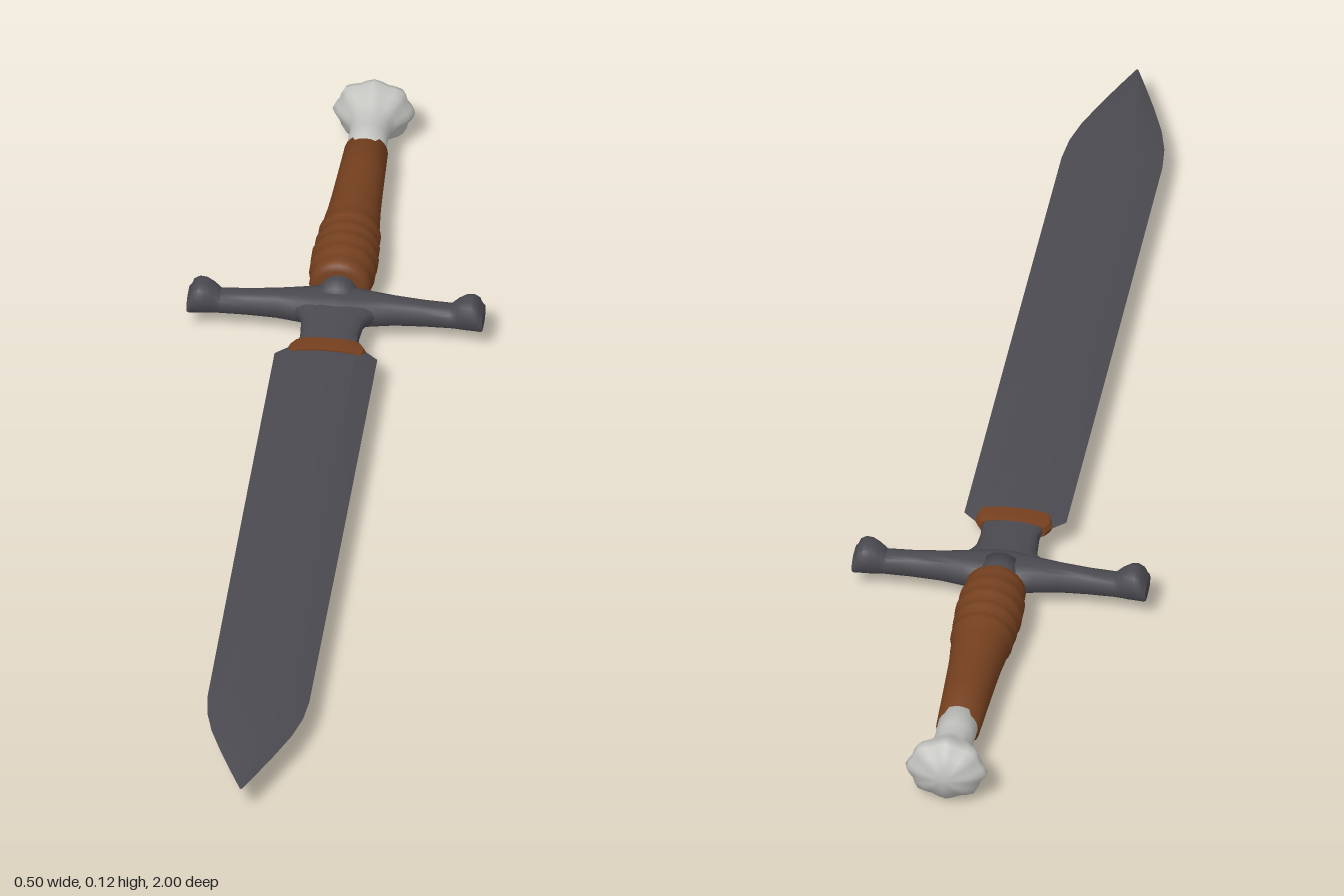
import * as THREE from 'three';
import { mergeVertices, toCreasedNormals } from 'three/addons/utils/BufferGeometryUtils.js';

// Skin closed cross-sections (counterclockwise [x, y] points) placed along z.
function loft(sections, crease) {
  const n = sections[0].pts.length;
  const pos = [], idx = [];
  for (const s of sections) for (const [x, y] of s.pts) pos.push(x, y, s.z);
  for (let i = 0; i < sections.length - 1; i++) {
    for (let j = 0; j < n; j++) {
      const a = i * n + j, b = i * n + (j + 1) % n;
      idx.push(a, b, b + n, a, b + n, a + n);
    }
  }
  const last = (sections.length - 1) * n;
  for (let j = 1; j < n - 1; j++) idx.push(0, j + 1, j, last, last + j, last + j + 1);
  const g = new THREE.BufferGeometry();
  g.setAttribute('position', new THREE.Float32BufferAttribute(pos, 3));
  g.setIndex(idx);
  return toCreasedNormals(g, crease);
}

// Flattened blade section: sharp edges, bevels and a gentle central ridge.
function bladeSection(w, t) {
  return [[w, 0], [w * 0.6, t * 0.75], [w * 0.3, t * 0.92], [0, t], [-w * 0.3, t * 0.92], [-w * 0.6, t * 0.75],
    [-w, 0], [-w * 0.6, -t * 0.75], [-w * 0.3, -t * 0.92], [0, -t], [w * 0.3, -t * 0.92], [w * 0.6, -t * 0.75]];
}

// Oval section with separate top and bottom heights.
function oval(w, top, bottom, cx = 0, sides = 14) {
  return Array.from({ length: sides }, (_, i) => {
    const a = (i / sides) * Math.PI * 2, s = Math.sin(a), c = Math.cos(a);
    const mid = (top + bottom) / 2, half = (top - bottom) / 2;
    return [cx + Math.sign(c) * Math.abs(c) ** 0.75 * w, mid + Math.sign(s) * Math.abs(s) ** 0.75 * half];
  });
}

// Turned part whose axis runs towards -z; profile is [radius, distance].
function turned(profile, segments, reshape) {
  const g = new THREE.LatheGeometry(profile.map(([r, d]) => new THREE.Vector2(r, d)), segments);
  if (reshape) {
    const p = g.attributes.position;
    for (let i = 0; i < p.count; i++) {
      const [kx, kz] = reshape(p.getX(i), p.getY(i), p.getZ(i));
      p.setX(i, p.getX(i) * kx);
      p.setZ(i, p.getZ(i) * kz);
    }
  }
  g.deleteAttribute('uv');
  g.deleteAttribute('normal');
  const m = mergeVertices(g, 1e-5);
  m.rotateX(-Math.PI / 2);
  m.computeVertexNormals();
  return m;
}

export function createModel() {
  const group = new THREE.Group();
  const material = (name, color) => Object.assign(new THREE.MeshStandardMaterial({ color }), { name });
  const steel = material('darkSteel', 0x4b4a50);
  const leather = material('brownLeather', 0x75401f);
  const silver = material('paleSilver', 0xc2c3bf);
  const add = (name, geometry, mat, y = 0) => {
    const mesh = new THREE.Mesh(geometry, mat);
    mesh.name = name;
    mesh.position.y = y;
    group.add(mesh);
  };

  // Blade: [z, half width, half thickness]
  const blade = [[-0.285, 0.055, 0.014], [-0.255, 0.087, 0.015], [0.2, 0.087, 0.015], [0.74, 0.086, 0.014],
    [0.79, 0.081, 0.013], [0.84, 0.068, 0.012], [0.9, 0.045, 0.009], [0.95, 0.024, 0.006], [1.0, 0.002, 0.001]];
  add('blade', loft(blade.map(([z, w, t]) => ({ z, pts: bladeSection(w, t) })), 0.35), steel, 0.058);

  // Leather band over the blade shoulder
  const band = [[-0.287, 0.058, 0.0165], [-0.272, 0.067, 0.0185], [-0.25, 0.064, 0.0175]];
  add('bladeBand', loft(band.map(([z, w, t]) => ({ z, pts: oval(w, t, -t) })), 0.6), leather, 0.058);

  // Collar between the guard and the blade
  const collar = [[-0.405, 0.09, 0.018], [-0.38, 0.075, 0.021], [-0.365, 0.06, 0.021], [-0.35, 0.053, 0.02],
    [-0.31, 0.05, 0.018], [-0.275, 0.053, 0.016]];
  add('bladeCollar', loft(collar.map(([z, w, t]) => ({ z, pts: oval(w, t, -t) })), 0.8), steel, 0.058);

  // Crossguard half: [x, half depth, top, bottom], mirrored
  const arm = [[0, 0.042, 0.085, 0.027], [0.03, 0.04, 0.083, 0.029], [0.06, 0.032, 0.081, 0.031],
    [0.1, 0.024, 0.079, 0.033], [0.15, 0.021, 0.075, 0.034], [0.195, 0.022, 0.072, 0.035],
    [0.207, 0.025, 0.083, 0.035], [0.22, 0.029, 0.09, 0.035], [0.232, 0.03, 0.091, 0.035],
    [0.242, 0.03, 0.084, 0.035], [0.246, 0.03, 0.072, 0.035], [0.25, 0.028, 0.068, 0.037]];
  const guardStations = [...arm.slice(1).reverse().map(([x, ...r]) => [-x, ...r]), ...arm];
  const guard = loft(guardStations.map(([z, w, top, bottom]) => ({ z, pts: oval(w, top, bottom, 0.403) })), 0.8);
  guard.rotateY(Math.PI / 2);
  add('crossguard', guard, steel);

  // Steel neck running into the grip
  add('gripNeck', turned([[0, 0.4], [0.036, 0.4], [0.036, 0.43], [0.03, 0.45], [0.03, 0.48], [0, 0.48]], 20), steel, 0.058);

  // Grip with wrapped ridges, tapering towards the pommel
  const grip = [[0, 0.448], [0.036, 0.448]];
  const ridges = 5, pitch = 0.033;
  for (let i = 0; i < ridges; i++) {
    const d = 0.451 + i * pitch, r = [0.052, 0.056, 0.057, 0.055, 0.053][i];
    grip.push([r - 0.006, d], [r, d + pitch * 0.25], [r, d + pitch * 0.7]);
  }
  grip.push([0.047, 0.618], [0.048, 0.635], [0.045, 0.665], [0.043, 0.7], [0.04, 0.77], [0.037, 0.847], [0, 0.847]);
  add('grip', turned(grip, 24), leather, 0.059);

  // Pommel: round neck and a softly lobed head
  const pommel = [[0, 0.835], [0.034, 0.835], [0.033, 0.88], [0.034, 0.907], [0.044, 0.925], [0.061, 0.945],
    [0.07, 0.962], [0.067, 0.973], [0.048, 0.988], [0.025, 0.997], [0, 1.0]];
  add('pommel', turned(pommel, 32, (x, d, z) => {
    const head = THREE.MathUtils.smoothstep(d, 0.9, 0.95);
    const lobe = 1 - head * 0.05 * (1 - Math.cos(8 * Math.atan2(z, x)));
    return [lobe, lobe * (1 - 0.14 * head)];
  }), silver, 0.063);

  return group;
}
